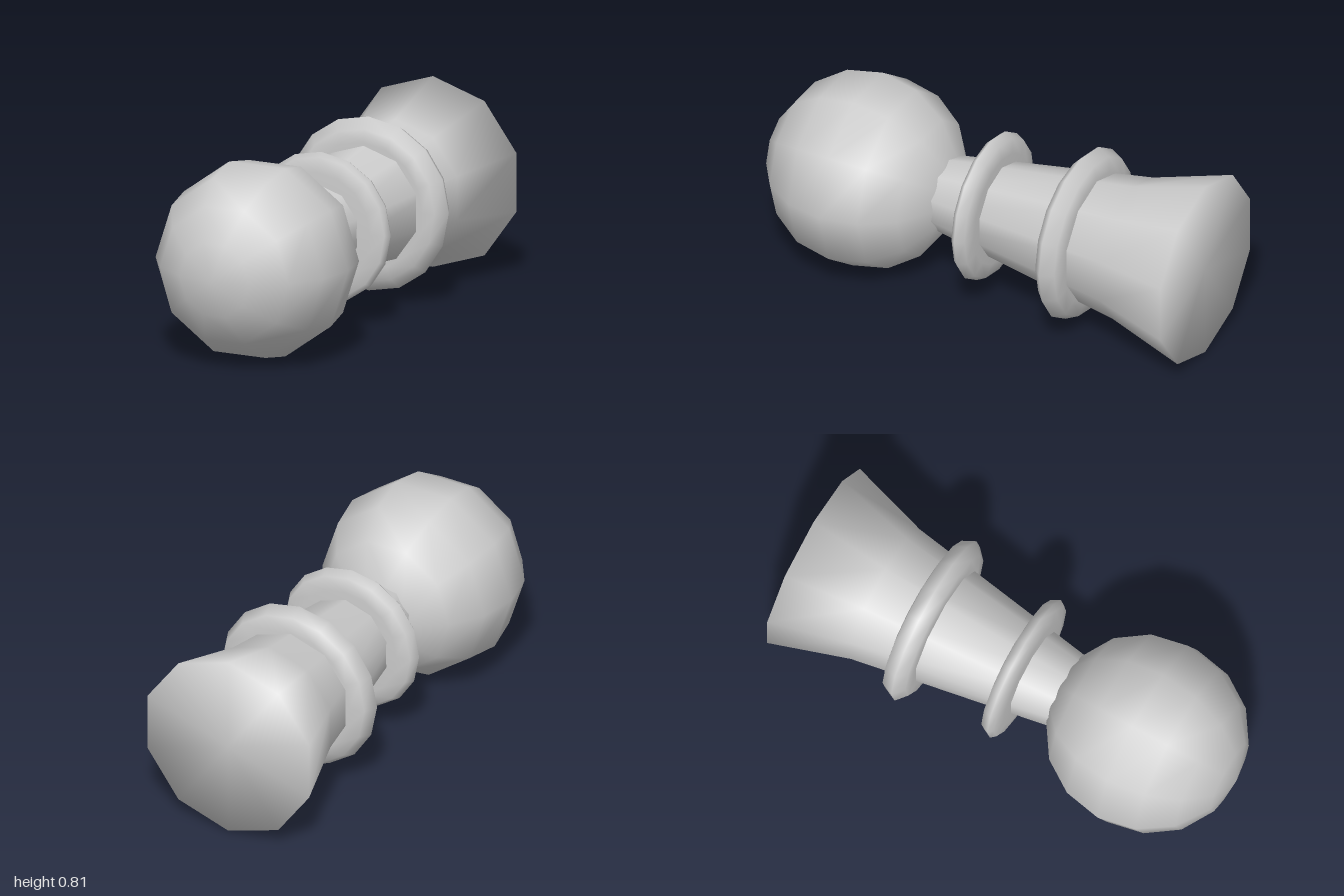
import * as THREE from 'three';

const AXIS_HEIGHT = 0.406;

export function createModel() {
  const group = new THREE.Group();
  const material = new THREE.MeshStandardMaterial({ color: 0xcccccc });

  // The turning axis of every part lies along z.
  function add(name, geometry) {
    geometry.rotateX(Math.PI / 2);
    const mesh = new THREE.Mesh(geometry, material);
    mesh.name = name;
    mesh.position.y = AXIS_HEIGHT;
    group.add(mesh);
  }

  // Profile points are [radius, z], listed from back to front.
  function turned(name, profile, sides) {
    const points = profile.map(([r, z]) => new THREE.Vector2(r, z));
    add(name, new THREE.LatheGeometry(points, sides));
  }

  // Ball at the front
  const ball = new THREE.SphereGeometry(0.42, 10, 8);
  ball.translate(0, 0.58, 0);
  add('ball', ball);

  // Ten-sided neck flaring to a closed base, its front end sunk in the ball
  turned('flaredBody', [
    [0, -1], [0.406, -1], [0.302, -0.66], [0.163, 0.2], [0.15, 0.28], [0, 0.28],
  ], 10);

  // Two collars around the neck
  turned('smallCollar', [
    [0.12, -0.05], [0.24, -0.048], [0.3, -0.036], [0.32, 0.003],
    [0.302, 0.024], [0.24, 0.035], [0.12, 0.037],
  ], 16);
  turned('largeCollar', [
    [0.2, -0.497], [0.28, -0.493], [0.343, -0.479], [0.37, -0.422],
    [0.325, -0.381], [0.27, -0.376], [0.2, -0.376],
  ], 16);

  return group;
}
